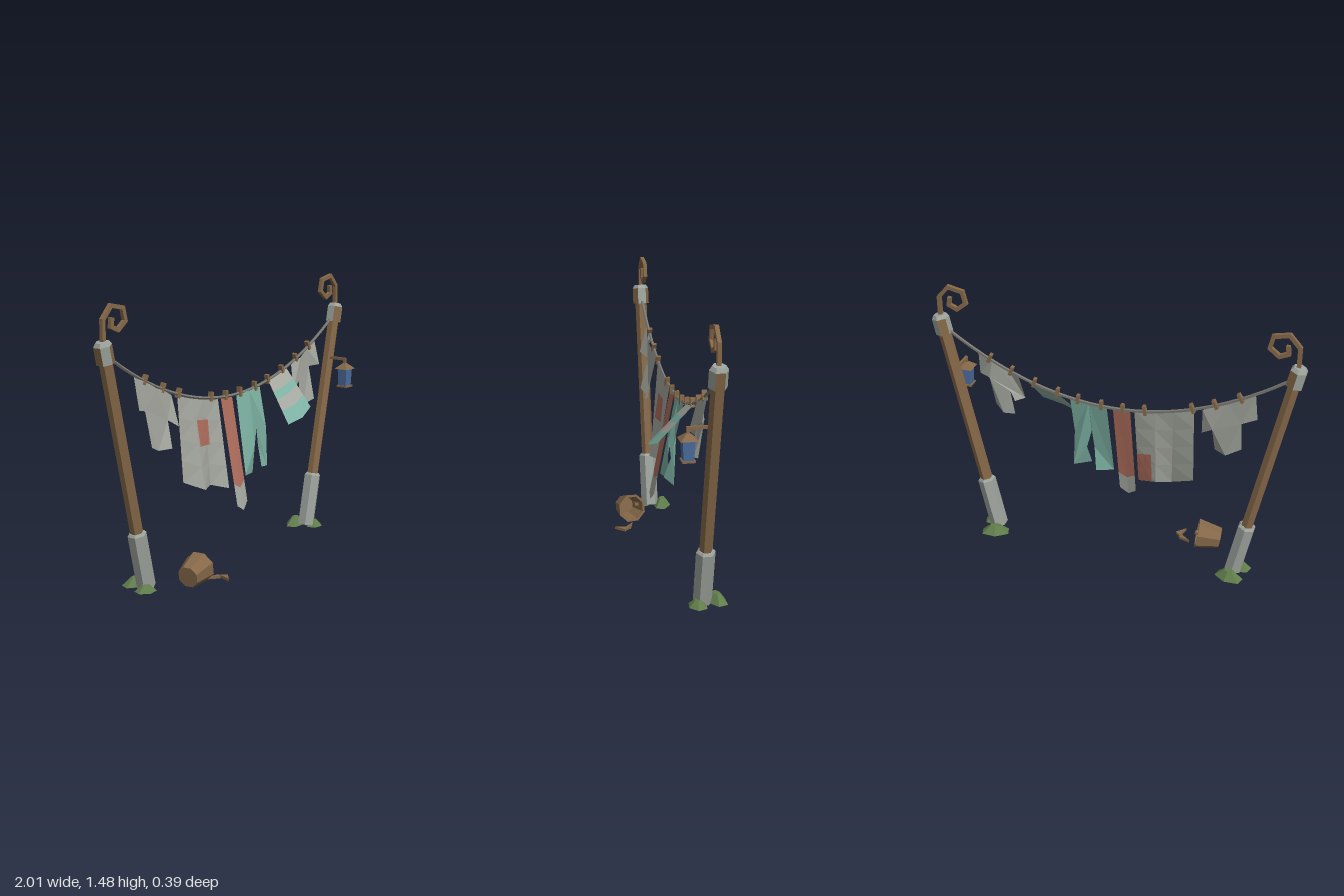
import * as THREE from 'three';

const mat = (name, color, side = THREE.FrontSide) => {
  const m = new THREE.MeshStandardMaterial({ color, flatShading: true, side });
  m.name = name;
  return m;
};

const Z = -0.076;                                  // plane of posts and rope
const ropeY = x => 0.9 + 0.378 * x * x;

export function createModel() {
  const wood = mat('wood', 0x856848);
  const stone = mat('stone', 0x9da39d);
  const moss = mat('moss', 0x617d4b);
  const ropeGrey = mat('rope', 0x77766f);
  const linen = mat('linen', 0xa4a79e, THREE.DoubleSide);
  const teal = mat('teal cloth', 0x7cb0a1, THREE.DoubleSide);
  const red = mat('red cloth', 0xae6d5c, THREE.DoubleSide);
  const blue = mat('lantern glass', 0x4b6c9c);

  const root = new THREE.Group();
  root.name = 'clothesline';
  const add = (parent, name, geo, material, x = 0, y = 0, z = 0) => {
    const m = new THREE.Mesh(geo, material);
    m.name = name;
    m.position.set(x, y, z);
    parent.add(m);
    return m;
  };
  const cyl = (rTop, rBottom, h, n = 6) => new THREE.CylinderGeometry(rTop, rBottom, h, n);

  // Flat mitred bar following a polyline
  const bar = (pts, w) => {
    const p = pts.map(a => new THREE.Vector2(...a));
    const left = [], right = [];
    p.forEach((c, i) => {
      const d1 = (i ? c.clone().sub(p[i - 1]) : p[1].clone().sub(c)).normalize();
      const d2 = (i < p.length - 1 ? p[i + 1].clone().sub(c) : d1.clone()).normalize();
      const n = new THREE.Vector2(-d1.y - d2.y, d1.x + d2.x).normalize();
      n.multiplyScalar(w / 2 / (n.x * -d1.y + n.y * d1.x));
      left.push(c.clone().add(n));
      right.unshift(c.clone().sub(n));
    });
    const g = new THREE.ExtrudeGeometry(new THREE.Shape([...left, ...right]), { depth: w, bevelEnabled: false });
    return g.translate(0, 0, -w / 2);
  };

  // Leaning posts, mirrored
  const curl = [[0.96, 1.27], [0.96, 1.41], [0.905, 1.472], [0.825, 1.455], [0.81, 1.39],
    [0.86, 1.35], [0.905, 1.37], [0.9, 1.415]];
  for (const s of [-1, 1]) {
    const side = s > 0 ? 'left' : 'right';
    const post = new THREE.Group();
    post.name = side + 'Post';
    post.position.set(s * 0.69, 0, Z);
    post.rotation.z = -s * 0.209;
    root.add(post);
    add(post, 'pole', cyl(0.034, 0.034, 1), wood, 0, 0.76);
    add(post, 'stoneSleeve', cyl(0.05, 0.05, 0.298), stone, 0, 0.159);
    add(post, 'sleeveBevel', cyl(0.04, 0.05, 0.012), stone, 0, 0.314);
    const cap = cyl(0.047, 0.047, 0.09);
    cap.clearGroups();
    for (let i = 0; i < 6; i++) cap.addGroup(i * 6, 6, (i + (s > 0 ? 0 : 1)) % 2);
    cap.addGroup(36, 36, 0);
    add(post, 'cap', cap, [stone, wood], 0, 1.27);
    add(post, 'capBevel', cyl(0.034, 0.047, 0.02), stone, 0, 1.325);
    add(root, side + 'Curl', bar(curl.map(([x, y]) => [x * s, y]), 0.021), wood, 0, 0, Z);

    // Moss mounds around the foot
    const mound = (x, z, rx, rz, h) => {
      const g = new THREE.CylinderGeometry(0.35, 1, 1, 6);
      g.scale(rx, h, rz).rotateY(s * 0.3);
      add(root, side + 'Moss', g, moss, s * x, h / 2, z);
    };
    mound(0.685, -0.15, 0.085, 0.052, 0.045);
    mound(0.73, -0.045, 0.06, 0.05, 0.035);
  }

  // Sagging rope
  const ropePts = [];
  for (let i = 0; i <= 16; i++) {
    const x = -0.94 + i * 0.1175;
    ropePts.push(new THREE.Vector3(x, ropeY(x), Z));
  }
  add(root, 'rope', new THREE.TubeGeometry(new THREE.CatmullRomCurve3(ropePts), 32, 0.009, 5), ropeGrey);

  // Pegs square to the rope
  for (const x of [-0.68, -0.55, -0.43, -0.175, -0.055, 0.065, 0.195, 0.31, 0.44, 0.57, 0.69]) {
    const peg = add(root, 'peg', new THREE.BoxGeometry(0.017, 0.052, 0.026), wood, x, ropeY(x) + 0.008, Z);
    peg.rotation.z = Math.atan(0.756 * x) - 0.06;
  }

  // Cloth cut from an outline; it leans forward as it hangs, points may add a fold depth
  const garment = (name, pts, lean, material) => {
    const g = new THREE.ShapeGeometry(new THREE.Shape(pts.map(p => new THREE.Vector2(p[0], p[1]))));
    const pos = g.attributes.position;
    for (let i = 0; i < pos.count; i++) {
      const x = pos.getX(i), y = pos.getY(i);
      const fold = pts.find(p => Math.abs(p[0] - x) + Math.abs(p[1] - y) < 1e-4)?.[2] ?? 0;
      pos.setZ(i, Z + Math.max(0, ropeY(x) - y) * lean + fold);
    }
    add(root, name, g, material);
  };
  garment('leftHandShirt', [[-0.757, 1.112], [-0.765, 0.945, 0.02], [-0.69, 0.925, -0.01], [-0.69, 0.745, 0.01],
    [-0.61, 0.71, -0.02], [-0.545, 0.715, 0.02], [-0.535, 0.855], [-0.475, 0.815, 0.02], [-0.485, 0.975],
    [-0.55, 1.01, 0.01], [-0.61, 1.03, 0.015], [-0.67, 1.07]], 0.13, linen);
  garment('rightHandShirt', [[0.755, 1.11], [0.765, 0.97, 0.015], [0.7, 0.965, -0.01], [0.69, 0.78, 0.02],
    [0.635, 0.75, -0.015], [0.575, 0.74, 0.01], [0.588, 0.895], [0.56, 0.84, -0.01], [0.51, 0.855, 0.02],
    [0.53, 1.0], [0.6, 1.03, 0.015], [0.68, 1.07]], 0.1, linen);
  garment('trousers', [[0.035, 0.905], [0.02, 0.46, 0.01], [0.115, 0.455, -0.02], [0.125, 0.6, 0.01],
    [0.14, 0.7, 0.025], [0.165, 0.6], [0.15, 0.485, 0.02], [0.245, 0.47, -0.02], [0.235, 0.69, 0.015],
    [0.24, 0.92], [0.14, 0.905, 0.01]], 0.16, teal);

  // Ruled cloth between a top and a bottom edge: u runs across, t runs down
  const drape = (top, bottom) => (u, t) => {
    const f = u * (top.length - 1), i = Math.min(Math.floor(f), top.length - 2);
    const at = e => new THREE.Vector3(...e[i]).lerp(new THREE.Vector3(...e[i + 1]), f - i);
    return at(top).lerp(at(bottom), t);
  };
  const panel = (name, surf, us, t0, t1, material, rows = 2, dz = 0) => {
    const pos = [], idx = [], n = us.length;
    for (let r = 0; r <= rows; r++) for (const u of us) {
      const p = surf(u, t0 + (t1 - t0) * r / rows);
      pos.push(p.x, p.y, p.z + dz);
    }
    for (let r = 0; r < rows; r++) for (let c = 0; c < n - 1; c++) {
      const a = r * n + c, b = a + n;
      idx.push(a, b, a + 1, b, b + 1, a + 1);
    }
    const g = new THREE.BufferGeometry();
    g.setAttribute('position', new THREE.Float32BufferAttribute(pos, 3));
    g.setIndex(idx);
    g.computeVertexNormals();
    add(root, name, g, material);
  };

  // Bed sheet with a patch on each face
  const sheet = drape(
    [[-0.44, 0.965, Z], [-0.33, 0.935, Z], [-0.23, 0.918, Z], [-0.118, 0.905, Z]],
    [[-0.44, 0.51, -0.04], [-0.31, 0.45, 0], [-0.23, 0.455, -0.035], [-0.122, 0.42, 0.005]]);
  panel('sheet', sheet, [0, 1 / 3, 2 / 3, 1], 0, 1, linen, 4);
  panel('frontPatch', sheet, [0.37, 0.52, 2 / 3, 0.7], 0.24, 0.53, red, 2, 0.005);
  panel('backPatch', sheet, [0.74, 0.87, 1], 0.6, 0.99, red, 2, -0.005);

  // Scarf with a pale pointed end
  const scarf = drape([[-0.095, 0.905, Z], [-0.048, 0.9, Z], [0, 0.9, Z]],
    [[-0.095, 0.32, 0.04], [-0.05, 0.29, 0.048], [-0.004, 0.33, 0.035]]);
  panel('scarf', scarf, [0, 0.5, 1], 0, 0.8, red);
  panel('scarfEnd', scarf, [0, 0.5, 1], 0.8, 1, linen, 1);

  // Striped towel blowing forward
  const towel = drape([[0.315, 0.94, Z], [0.4, 0.96, Z], [0.485, 0.985, Z]],
    [[0.255, 0.72, 0.115], [0.36, 0.745, 0.135], [0.468, 0.785, 0.11]]);
  [[0, 0.28, linen], [0.28, 0.45, teal], [0.45, 0.7, linen], [0.7, 1, teal]].forEach(([a, b, m]) =>
    panel('towelStripe', towel, [0, 0.5, 1], a, b, m, 1));

  // Lantern on a bracket
  const lantern = new THREE.Group();
  lantern.name = 'lantern';
  lantern.position.set(0.89, 0, 0.05);
  root.add(lantern);
  const square = (name, rTop, rBottom, h, y, m) =>
    add(lantern, name, cyl(rTop * Math.SQRT2, rBottom * Math.SQRT2, h, 4).rotateY(Math.PI / 4), m, 0, y);
  square('lanternBase', 0.033, 0.033, 0.01, 0.835, wood);
  square('lanternGlass', 0.03, 0.026, 0.1, 0.89, blue);
  square('lanternRoof', 0.008, 0.043, 0.032, 0.954, wood);
  add(lantern, 'bracketDrop', new THREE.BoxGeometry(0.015, 0.04, 0.015), wood, 0, 0.978);
  add(lantern, 'bracketArm', new THREE.BoxGeometry(0.015, 0.015, 0.125), wood, 0, 0.993, -0.055);

  // Tipped bucket
  const profile = [[0, 0], [0.058, 0], [0.084, 0.13], [0.071, 0.13], [0.05, 0.015], [0, 0.015]];
  const bucket = add(root, 'bucket', new THREE.LatheGeometry(
    profile.map(p => new THREE.Vector2(...p)), 8, Math.PI / 8), wood, -0.572, 0.062, 0.102);
  bucket.rotation.set(0, 0.2, -Math.PI / 2 + 0.17);
  add(root, 'bucketPeg', new THREE.BoxGeometry(0.06, 0.014, 0.02), wood, -0.47, 0.1, 0.05).rotation.z = 0.3;

  // Wedge pegs dropped on the ground
  for (const tri of [[[-0.4, 0.085], [-0.335, 0.105], [-0.345, 0.13]], [[-0.355, 0.195], [-0.305, 0.145], [-0.335, 0.115]]]) {
    const g = new THREE.ExtrudeGeometry(new THREE.Shape(tri.map(([x, z]) => new THREE.Vector2(x, -z))),
      { depth: 0.015, bevelEnabled: false });
    add(root, 'fallenPeg', g.rotateX(-Math.PI / 2), wood);
  }
  return root;
}
